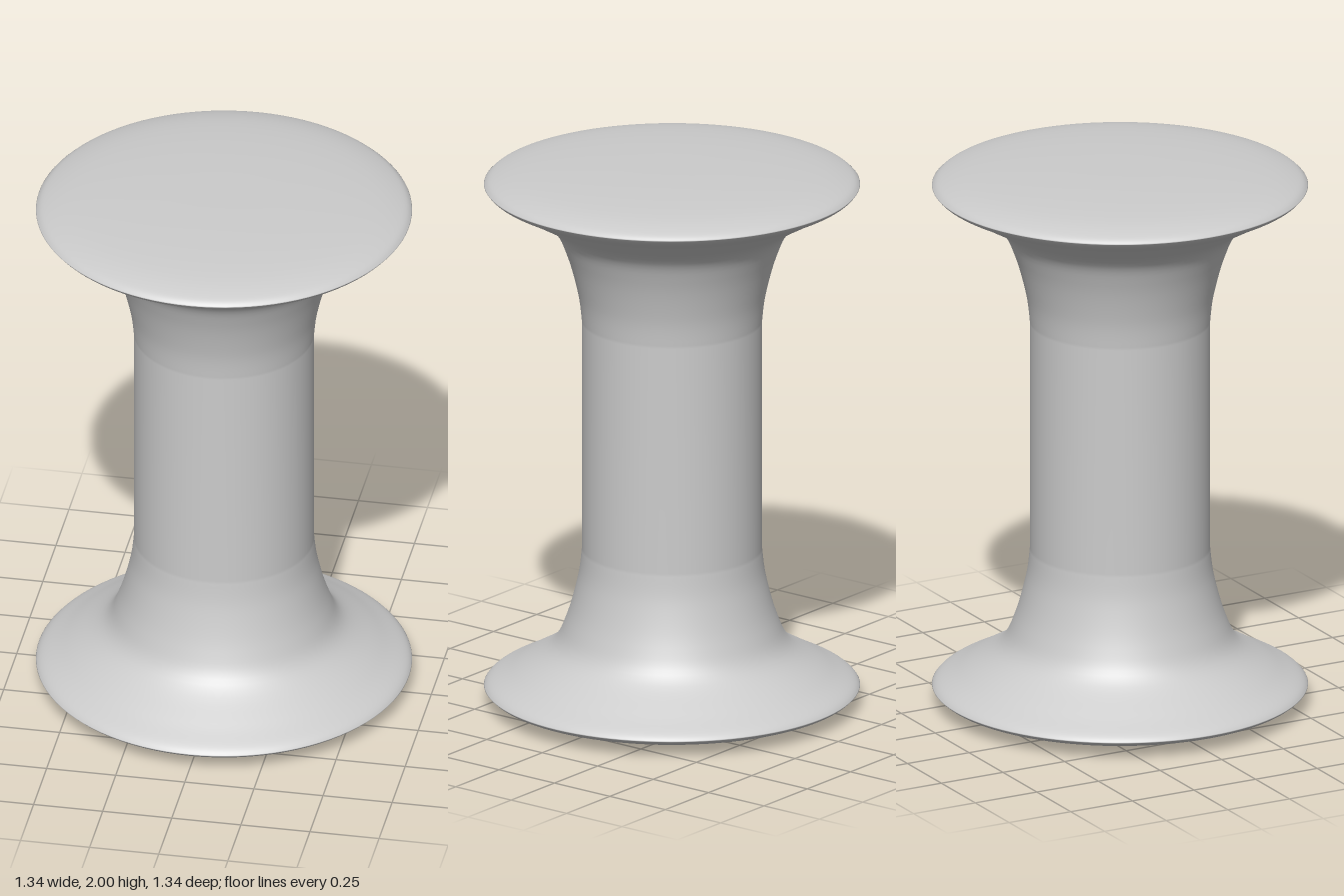
import * as THREE from 'three';

const material = new THREE.MeshStandardMaterial({ color: 0xcccccc });

// Half profile from mid-height up to the top centre: [radius, height above the middle]
const waist = [0.32, 0];
const flare = [[0.32, 0.42], [0.334, 0.53], [0.375, 0.68], [0.43, 0.785], [0.56, 0.868], [0.645, 0.913], [0.669, 0.935]];
const dome = [[0.669, 0.935], [0.64, 0.955], [0.55, 0.976], [0.4, 0.99], [0.2, 0.998], [0, 1]];

const smooth = (points, n) =>
  new THREE.SplineCurve(points.map(([r, y]) => new THREE.Vector2(r, y))).getPoints(n);

export function createModel() {
  const group = new THREE.Group();
  group.name = 'spool';

  // Upper half of the outline, then mirrored downwards
  const upper = [...smooth(flare, 36), ...smooth(dome, 30).slice(1)];
  const lower = upper.map((p) => new THREE.Vector2(p.x, -p.y)).reverse();
  const outline = [...lower, new THREE.Vector2(...waist), ...upper]
    .map((p) => new THREE.Vector2(Math.max(0, p.x), p.y + 1));

  // Column with its two flared, gently domed discs in one turned surface
  const body = new THREE.Mesh(new THREE.LatheGeometry(outline, 96), material);
  body.name = 'spoolBody';
  group.add(body);
  return group;
}
